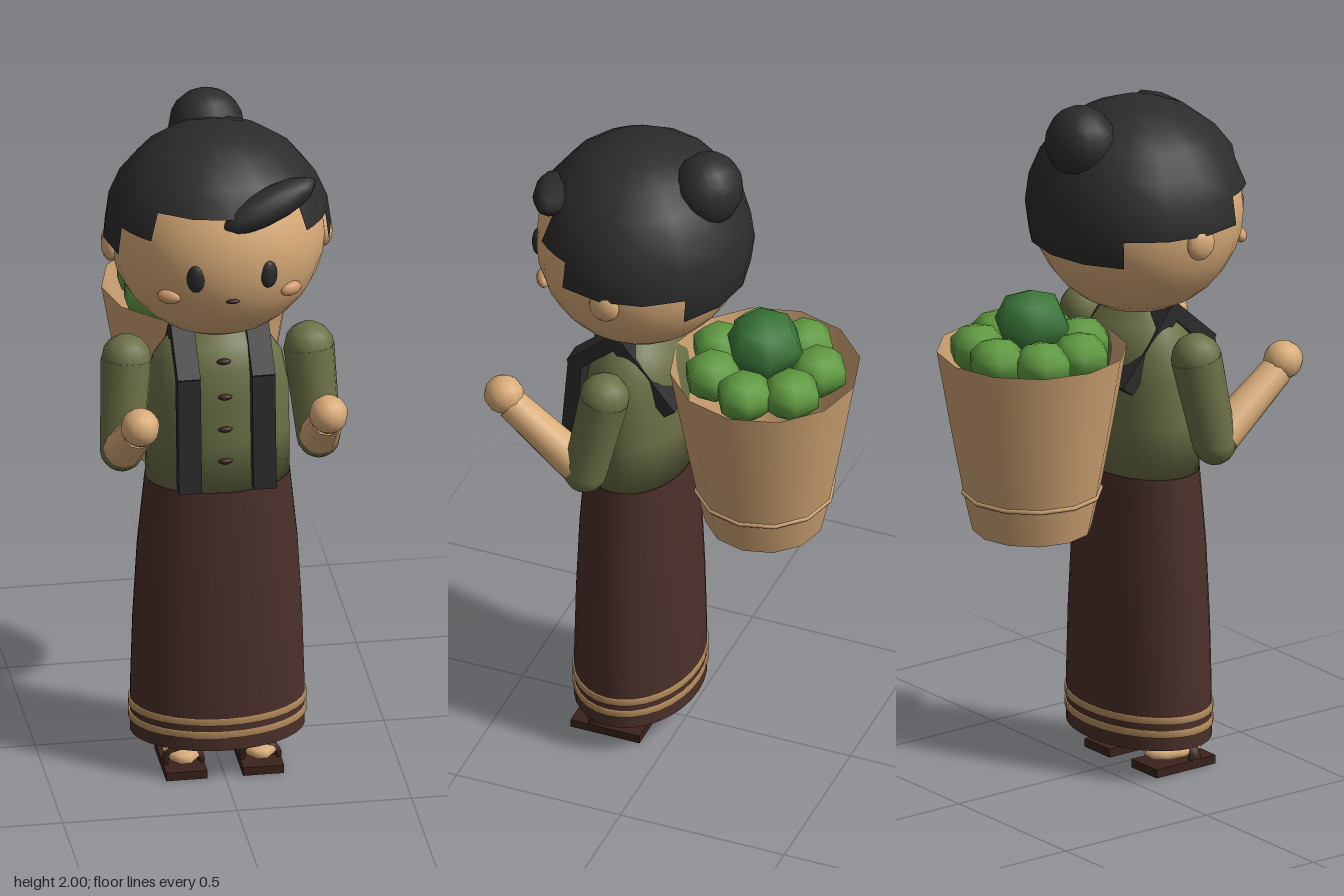
import * as THREE from 'three';

const mat = (name, color, double) => {
  const m = new THREE.MeshStandardMaterial({ color });
  m.name = name;
  if (double) m.side = THREE.DoubleSide;
  return m;
};

export function createModel() {
  const root = new THREE.Group();
  root.name = 'basketCarrier';

  const skin = mat('skin', 0xd8ab78);
  const black = mat('softBlack', 0x2c2c2d, true);
  const olive = mat('oliveCloth', 0x6c7147, true);
  const brown = mat('skirtBrown', 0x4b302a, true);
  const dark = mat('darkBrown', 0x3a221b);
  const wicker = mat('wicker', 0xcfa473, true);
  const trim = mat('hemTrim', 0xb58c5c, true);
  const green = mat('leafGreen', 0x5f9a40);
  const deepGreen = mat('deepGreen', 0x397638);
  const blush = mat('blush', 0xd09a6c);

  const CZ = 0.14;      // body axis depth
  const FLAT = 0.71;    // body depth to width ratio
  const V = (x, y, z) => new THREE.Vector3(x, y, z);

  const add = (name, geo, material, x = 0, y = 0, z = 0) => {
    const m = new THREE.Mesh(geo, material);
    m.name = name;
    m.position.set(x, y, z);
    root.add(m);
    return m;
  };
  const ball = (name, material, x, y, z, rx, ry = rx, rz = rx, w = 12, h = 8) => {
    const m = add(name, new THREE.SphereGeometry(1, w, h), material, x, y, z);
    m.scale.set(rx, ry, rz);
    return m;
  };
  // Tapered round limb between two points
  const limb = (name, material, a, b, ra, rb, sides = 12) => {
    const g = new THREE.CylinderGeometry(rb, ra, a.distanceTo(b), sides);
    const m = add(name, g, material);
    m.position.copy(a).lerp(b, 0.5);
    m.quaternion.setFromUnitVectors(V(0, 1, 0), b.clone().sub(a).normalize());
    return m;
  };
  // Oval lathe around the body axis
  const oval = (name, material, pts) => {
    const g = new THREE.LatheGeometry(pts.map(p => new THREE.Vector2(...p)), 32);
    const m = add(name, g, material, 0, 0, CZ);
    m.scale.z = FLAT;
    return m;
  };

  // Skirt with two hem bands
  oval('skirt', brown, [[0.25, 0.1], [0.249, 0.25], [0.243, 0.45], [0.23, 0.68], [0.208, 0.9]]);
  for (const y of [0.15, 0.19])
    oval('hemBand', trim, [[0.25, y - 0.01], [0.255, y - 0.01], [0.255, y + 0.01], [0.25, y + 0.01]]);

  // Shirt and neck
  const shirt = [[0, 0.9], [0.207, 0.9], [0.206, 1.05], [0.203, 1.18], [0.185, 1.27],
    [0.14, 1.335], [0.07, 1.365], [0.07, 1.39]];
  oval('shirt', olive, shirt);
  add('neck', new THREE.CylinderGeometry(0.06, 0.06, 0.12, 16), skin, 0, 1.37, CZ);

  // Buttons sit on the shirt front
  const shirtRadius = y => {
    const i = shirt.findIndex((p, k) => k > 1 && p[1] >= y);
    const [r0, y0] = shirt[i - 1], [r1, y1] = shirt[i];
    return r0 + (r1 - r0) * (y - y0) / (y1 - y0);
  };
  for (const y of [1.0, 1.1, 1.2, 1.3])
    ball('button', dark, 0, y, CZ + shirtRadius(y) * FLAT, 0.021, 0.009, 0.01, 8, 6);

  // Head and bun
  const HY = 1.662, HZ = 0.135;
  ball('head', skin, 0, HY, HZ, 0.307, 0.303, 0.3, 24, 16);
  ball('hairBun', black, 0, 1.893, -0.066, 0.108, 0.108, 0.1, 14, 10);

  // Hair cap: angular spans from the front, each with its own lower edge
  const deg = Math.PI / 180;
  const hairSpans = [[-45, 45, 60], [45, 67.5, 75], [67.5, 135, 90],
    [135, 225, 105], [225, 292.5, 90], [292.5, 315, 75]];
  for (const [a, b, t] of hairSpans) {
    const g = new THREE.SphereGeometry(1, Math.round((b - a) / 22.5), t / 15,
      (90 + a) * deg, (b - a) * deg, 0, t * deg);
    add('hairCap', g, black, 0, HY, HZ).scale.set(0.327, 0.32, 0.318);
  }
  const fringe = ball('fringe', black, 0.115, 1.837, 0.362, 0.152, 0.05, 0.055, 10, 8);
  fringe.rotation.set(0, 0.27, 0.33);

  // Mouth
  ball('mouth', dark, 0, 1.572, 0.423, 0.02, 0.007, 0.008, 8, 6);

  for (const s of [1, -1]) {
    // Face details
    ball('eye', black, s * 0.105, 1.645, 0.412, 0.026, 0.042, 0.016).rotation.y = s * 0.35;
    ball('cheek', blush, s * 0.175, 1.574, 0.368, 0.036, 0.021, 0.018).rotation.y = s * 0.5;
    ball('ear', skin, s * 0.305, 1.635, 0.128, 0.027, 0.05, 0.046);

    // Arm with raised forearm
    const shoulder = V(s * 0.262, 1.275, 0.145);
    const elbow = V(s * 0.282, 1.015, 0.195);
    const wrist = V(s * 0.27, 1.18, 0.425);
    ball('shoulder', olive, ...shoulder.toArray(), 0.073);
    limb('sleeve', olive, elbow, shoulder, 0.063, 0.073);
    ball('elbow', olive, ...elbow.toArray(), 0.063);
    limb('forearm', skin, elbow.clone().lerp(wrist, 0.1), wrist, 0.058, 0.047);
    ball('hand', skin, s * 0.27, 1.207, 0.448, 0.056, 0.056, 0.058);

    // Shoulder strap in three flat runs
    const path = [[0.312, 0.93], [0.285, 1.27], [0.165, 1.378], [0.005, 1.18]];
    for (let i = 0; i < 3; i++) {
      const [z0, y0] = path[i], [z1, y1] = path[i + 1];
      const len = Math.hypot(z1 - z0, y1 - y0) + (i ? 0.03 : 0.01);
      const strap = add('basketStrap', new THREE.BoxGeometry(0.066, len, 0.042), black,
        s * 0.107, (y0 + y1) / 2, (z0 + z1) / 2);
      strap.rotation.x = Math.atan2(z1 - z0, y1 - y0);
    }

    // Leg, foot and sandal
    const x = s * 0.11;
    add('leg', new THREE.CylinderGeometry(0.052, 0.048, 0.4, 14), skin, x, 0.285, CZ);
    add('ankle', new THREE.CylinderGeometry(0.03, 0.03, 0.05, 10), skin, x, 0.065, CZ);
    ball('foot', skin, x, 0.05, 0.18, 0.054, 0.025, 0.098, 10, 6);
    add('sandalSole', new THREE.BoxGeometry(0.118, 0.025, 0.21), dark, x, 0.0125, 0.18);
    const thong = add('sandalStrap', new THREE.TorusGeometry(0.05, 0.01, 6, 14, Math.PI), dark, x, 0.026, 0.215);
    thong.scale.set(1.05, 0.9, 2);
  }

  // Basket with floor and a raised ring
  const BZ = -0.24;
  const basketPts = [[0, 0.775], [0.17, 0.775], [0.195, 0.885], [0.235, 1.1], [0.272, 1.315]];
  const wall = new THREE.LatheGeometry(basketPts.slice(1).map(p => new THREE.Vector2(...p)), 12);
  add('basketWall', wall, wicker, 0, 0, BZ);
  const floor = add('basketFloor', new THREE.CircleGeometry(0.17, 12), wicker, 0, 0.775, BZ);
  floor.rotation.x = Math.PI / 2;
  const ring = add('basketRing', new THREE.TorusGeometry(0.196, 0.007, 6, 12), wicker, 0, 0.888, BZ);
  ring.rotation.x = Math.PI / 2;

  // Produce: seven round a larger one
  for (let i = 0; i < 7; i++) {
    const a = i * Math.PI * 2 / 7;
    const f = ball('produce', green, 0.153 * Math.cos(a), 1.312, BZ - 0.153 * Math.sin(a), 0.088, 0.07, 0.088, 6, 5);
    f.rotation.y = Math.PI / 6;
  }
  const top = ball('topProduce', deepGreen, 0, 1.39, BZ, 0.115, 0.098, 0.115, 6, 4);
  top.rotation.y = Math.PI / 6;

  return root;
}
